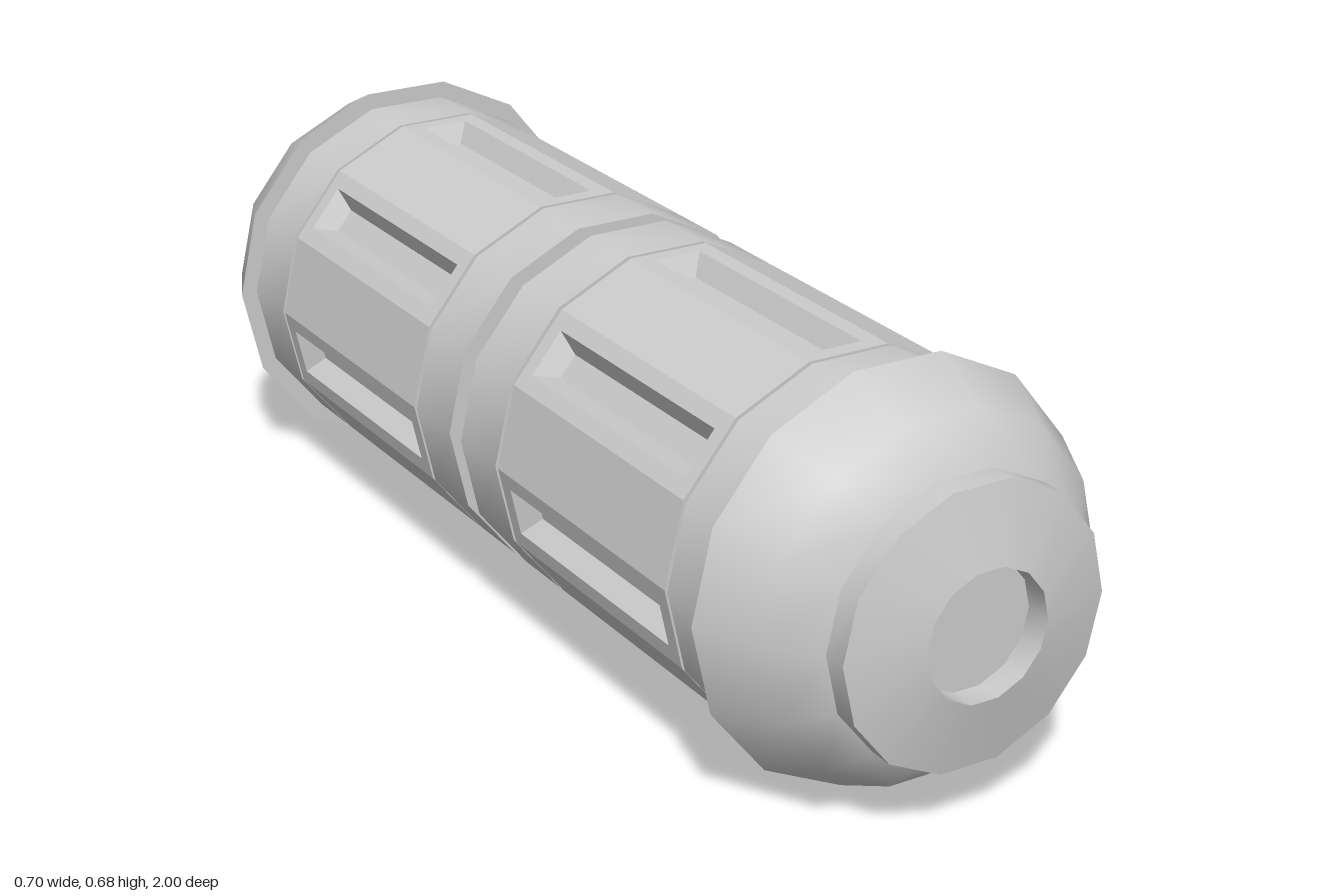
import * as THREE from 'three';
import { mergeGeometries, toCreasedNormals } from 'three/addons/utils/BufferGeometryUtils.js';

const SIDES = 14;
const R = 0.32;                                  // body radius at the corners
const CORE = 0.272;                              // radius inside the grooves
const APOTHEM = R * Math.cos(Math.PI / SIDES);
const FACET = R * Math.sin(Math.PI / SIDES);     // half width of one facet
const MID = -0.02;                               // z of the middle groove

const material = new THREE.MeshStandardMaterial({ color: 0xcccccc });

function addMesh(group, name, geometry) {
  const mesh = new THREE.Mesh(geometry, material);
  mesh.name = name;
  group.add(mesh);
  return mesh;
}

// Turns a profile of [radius, z] pairs (rising z on the outside) around the z axis
function turned(profile) {
  const points = profile.map(([r, z]) => new THREE.Vector2(r, z));
  const lathe = new THREE.LatheGeometry(points, SIDES, Math.PI / 2);
  lathe.rotateX(Math.PI / 2);
  return toCreasedNormals(lathe, 0.6);
}

const ring = (z0, z1) => turned([[CORE - 0.01, z0], [R, z0], [R, z1], [CORE - 0.01, z1]]);

// Nested rectangles [halfWidth, halfLength, height], stitched outside to inside and closed
function nestedRects(rects) {
  const loops = rects.map(([w, l, h]) => [[-w, h, l], [w, h, l], [w, h, -l], [-w, h, -l]]);
  const pos = [];
  const quad = (a, b, c, d) => pos.push(...a, ...b, ...c, ...a, ...c, ...d);
  for (let n = 0; n + 1 < loops.length; n++) {
    for (let i = 0; i < 4; i++) {
      const j = (i + 1) % 4;
      quad(loops[n][i], loops[n][j], loops[n + 1][j], loops[n + 1][i]);
    }
  }
  quad(...loops[loops.length - 1]);
  const g = new THREE.BufferGeometry();
  g.setAttribute('position', new THREE.Float32BufferAttribute(pos, 3));
  g.computeVertexNormals();
  return g;
}

// Faceted sleeve: every second facet carries a tapered slot
function sleeveGeometry(length) {
  const half = length / 2;
  const outer = [FACET, half, APOTHEM];
  const slot = [[0.042, 0.227, APOTHEM], [0.022, 0.207, APOTHEM - 0.035]];
  const parts = [];
  for (let k = 0; k < SIDES; k++) {
    const facet = nestedRects(k % 2 === 0 ? [outer, ...slot] : [outer]);
    parts.push(facet.rotateZ(k * 2 * Math.PI / SIDES));
  }
  // end faces
  for (const turn of [0, Math.PI]) {
    const end = new THREE.RingGeometry(CORE - 0.01, R, SIDES).toNonIndexed();
    end.deleteAttribute('uv');
    parts.push(end.translate(0, 0, half).rotateY(turn));
  }
  return mergeGeometries(parts);
}

export function createModel() {
  const group = new THREE.Group();
  group.name = 'capsule';

  // Inner core showing in the grooves
  addMesh(group, 'core', turned([[CORE, -0.81], [CORE, 0.77]]));

  // Both halves mirror about the middle groove
  const sleeve = sleeveGeometry(0.51);
  for (const [side, s] of [['front', 1], ['rear', -1]]) {
    const span = (a, b) => ring(MID + Math.min(s * a, s * b), MID + Math.max(s * a, s * b));
    addMesh(group, side + 'MiddleRing', span(0.02, 0.137));
    addMesh(group, side + 'Sleeve', sleeve).position.z = MID + s * 0.401;
    addMesh(group, side + 'Collar', span(0.664, 0.778));
  }

  // Rounded caps overhanging the collars
  addMesh(group, 'rearCap', turned([
    [0, -1], [0.107, -1], [0.23, -0.97], [0.3, -0.907], [0.35, -0.798], [0.26, -0.798],
  ]));
  addMesh(group, 'frontCap', turned([
    [0.26, 0.758], [0.35, 0.758], [0.3, 0.867], [0.23, 0.93], [0.2, 0.935],
  ]));

  // Nose with a shallow round recess
  addMesh(group, 'nose', turned([
    [0.232, 0.92], [0.232, 0.97], [0.108, 1], [0.108, 0.955], [0, 0.955],
  ]));

  group.position.y = 0.35 * Math.cos(Math.PI / SIDES);
  const root = new THREE.Group();
  root.add(group);
  return root;
}
